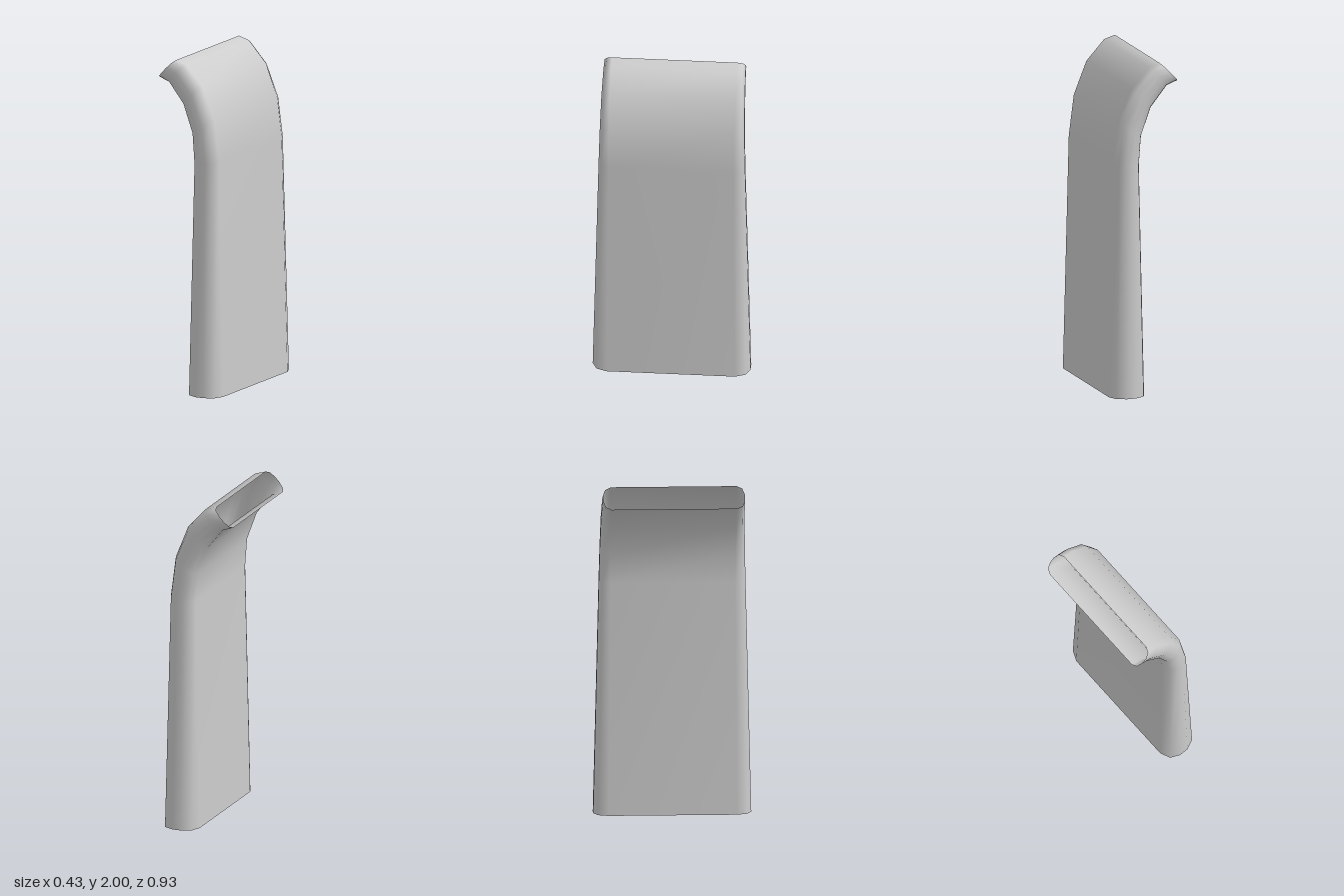
import * as THREE from 'three';

// Sections from base to lip: [outer x, outer y, inner x, inner y, half depth, corner size]
const SECTIONS = [
  [0.217, 0, -0.005, 0, 0.467, 0.087],
  [0.184, 1.416, 0.024, 1.395, 0.433, 0.064],
  [0.152, 1.66, 0.011, 1.57, 0.428, 0.058],
  [0.072, 1.857, -0.05, 1.738, 0.424, 0.052],
  [-0.04, 1.979, -0.15, 1.862, 0.42, 0.048],
  [-0.108, 2, -0.217, 1.887, 0.418, 0.046],
];

// Quarter of the rounded section: [position across thickness, share of corner size cut off the depth]
const CORNER = [[1, 1], [0.77, 0.3], [0.25, 0]];

// Full ring of [across, corner share, side of z]
function ringPattern() {
  const half = [...CORNER, ...CORNER.map(([u, d]) => [-u, d]).reverse()];
  return [
    ...half.map(([u, d]) => [u, d, 1]),
    ...half.map(([u, d]) => [u, d, -1]).reverse(),
  ];
}

// Open-ended skin lofted through the sections
function loftSkin() {
  const ring = ringPattern();
  const n = ring.length;
  const positions = [];
  const indices = [];
  SECTIONS.forEach(([ox, oy, ix, iy, depth, corner], i) => {
    ring.forEach(([u, d, side], j) => {
      const t = (1 + u) / 2;
      positions.push(
        THREE.MathUtils.lerp(ix, ox, t),
        THREE.MathUtils.lerp(iy, oy, t),
        side * (depth - d * corner),
      );
      if (i === SECTIONS.length - 1) return;
      const a = i * n + j;
      const b = i * n + ((j + 1) % n);
      indices.push(a, a + n, b, b, a + n, b + n);
    });
  });
  const geometry = new THREE.BufferGeometry();
  geometry.setAttribute('position', new THREE.Float32BufferAttribute(positions, 3));
  geometry.setIndex(indices);
  geometry.computeVertexNormals();
  return geometry;
}

export function createModel() {
  const group = new THREE.Group();
  group.name = 'curvedDuct';
  const material = new THREE.MeshStandardMaterial({ color: 0xcccccc, side: THREE.DoubleSide });
  const duct = new THREE.Mesh(loftSkin(), material);
  duct.name = 'ductShell';
  group.add(duct);
  return group;
}
